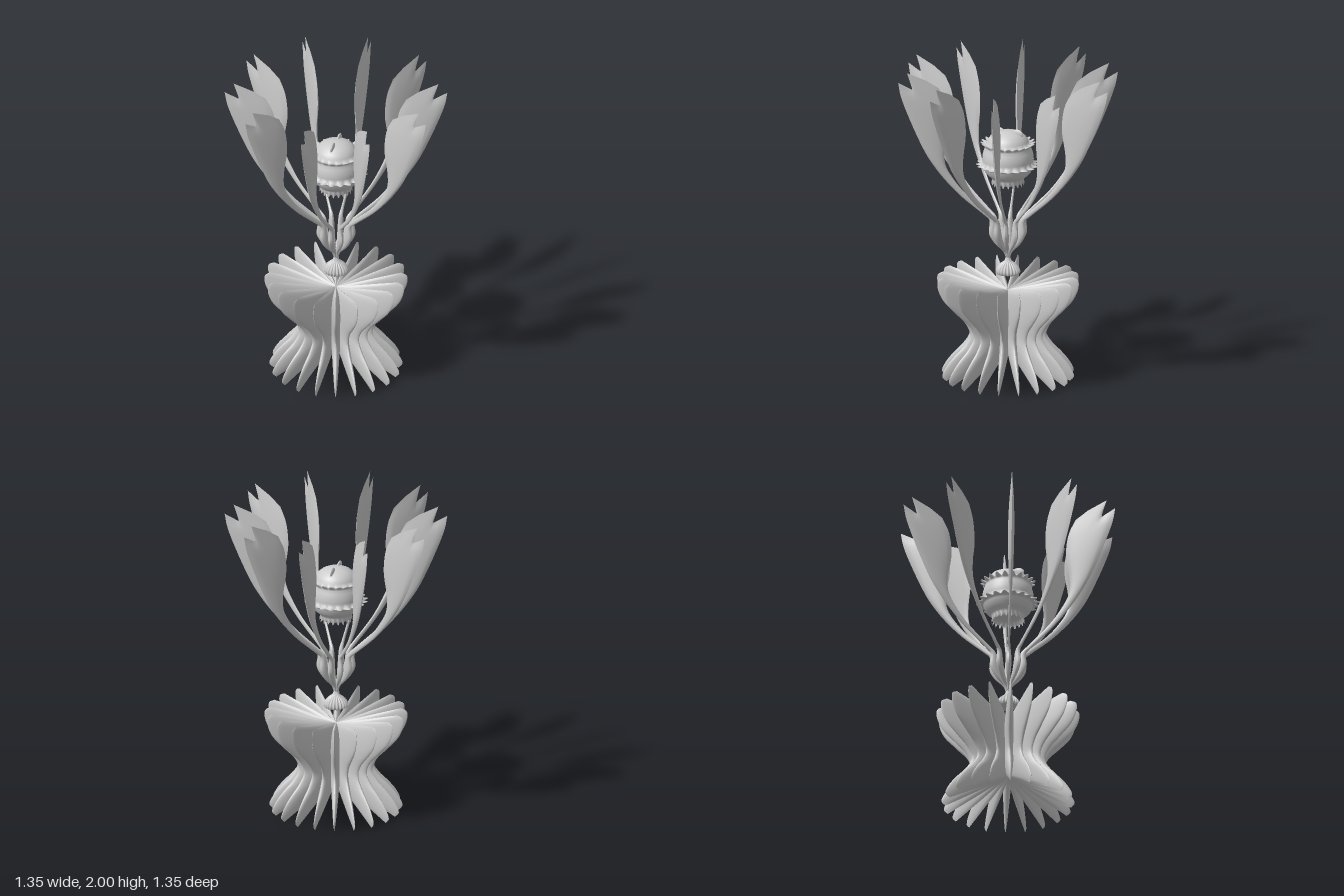
import * as THREE from 'three';
import { mergeVertices } from 'three/addons/utils/BufferGeometryUtils.js';

const material = new THREE.MeshStandardMaterial({ color: 0xcccccc, side: THREE.DoubleSide });
const lerp = THREE.MathUtils.lerp;
const V = (x, y, z = 0) => new THREE.Vector3(x, y, z);

// Two-sided lens: point(u, v) gives x, y and half thickness z
function lensBlade(point, nu, nv) {
  const position = [], index = [];
  for (const side of [1, -1]) {
    const start = position.length / 3;
    for (let j = 0; j <= nv; j++) {
      for (let i = 0; i <= nu; i++) {
        const p = point(i / nu, j / nv);
        position.push(p.x, p.y, p.z * side);
      }
    }
    for (let j = 0; j < nv; j++) {
      for (let i = 0; i < nu; i++) {
        const a = start + j * (nu + 1) + i, b = a + 1, c = b + nu + 1, d = c - 1;
        if (side > 0) index.push(a, b, c, a, c, d);
        else index.push(a, c, b, a, d, c);
      }
    }
  }
  const g = new THREE.BufferGeometry();
  g.setAttribute('position', new THREE.Float32BufferAttribute(position, 3));
  g.setIndex(index);
  g.computeVertexNormals();
  return g;
}

// Lathe whose rows [r, y, rWave, yWave] ripple around the axis
function rippledLathe(rows, teeth) {
  const seg = teeth * 8, n = rows.length;
  let g = new THREE.LatheGeometry(rows.map(([r, y]) => new THREE.Vector2(r, y)), seg);
  const p = g.attributes.position;
  for (let k = 0; k < p.count; k++) {
    const [r, y, rw = 0, yw = 0] = rows[k % n];
    const angle = (Math.floor(k / n) / seg) * Math.PI * 2;
    const wave = Math.cos(angle * teeth);
    const R = r + rw * wave;
    p.setXYZ(k, R * Math.sin(angle), y + yw * wave, R * Math.cos(angle));
  }
  g.deleteAttribute('uv');
  g.deleteAttribute('normal');
  g = mergeVertices(g, 1e-5);
  g.computeVertexNormals();
  return g;
}

// Copies of one blade around the y axis
function ring(name, geometry, count, offsetDegrees) {
  const group = new THREE.Group();
  group.name = name + 's';
  for (let k = 0; k < count; k++) {
    const mesh = new THREE.Mesh(geometry, material);
    mesh.name = name;
    mesh.rotation.y = -THREE.MathUtils.degToRad(offsetDegrees + (360 / count) * k);
    group.add(mesh);
  }
  return group;
}

// Hourglass lobe, spreading from the axis to a curved outer edge
function lobeGeometry() {
  const edge = new THREE.CatmullRomCurve3([
    [0.385, 0], [0.41, 0.03], [0.385, 0.09], [0.335, 0.155], [0.275, 0.22], [0.237, 0.29],
    [0.262, 0.36], [0.335, 0.44], [0.405, 0.52], [0.438, 0.6], [0.435, 0.65], [0.4, 0.67],
  ].map(([r, y]) => V(r, y)));
  return lensBlade((u, v) => {
    const o = edge.getPoint(v);
    const s = Math.sin(u * Math.PI / 2);
    const half = 0.034 * Math.sqrt(Math.max(0, 1 - s * s)) * Math.pow(Math.max(0, Math.sin(Math.PI * v)), 0.5);
    return V(o.x * s, lerp(lerp(0.2, 0.57, v), o.y, s), half);
  }, 12, 44);
}

// Upright petal: slim stem with a swelling, widening to a notched tip
function petalGeometry() {
  // inner r, inner y, outer r, outer y, half thickness
  const rows = [
    [0.0, 0.78, 0.014, 0.78, 0.006],
    [0.01, 0.83, 0.032, 0.82, 0.008],
    [0.045, 0.89, 0.085, 0.875, 0.014],
    [0.065, 0.96, 0.119, 0.94, 0.018],
    [0.08, 1.03, 0.115, 1.02, 0.013],
    [0.125, 1.075, 0.15, 1.06, 0.008],
    [0.26, 1.2, 0.285, 1.18, 0.007],
    [0.345, 1.31, 0.385, 1.29, 0.01],
    [0.39, 1.4, 0.46, 1.39, 0.014],
    [0.393, 1.5, 0.525, 1.5, 0.017],
    [0.37, 1.65, 0.605, 1.68, 0.019],
    [0.385, 1.79, 0.665, 1.84, 0.014],
  ];
  const tip = [V(0.43, 1.89), V(0.51, 1.945), V(0.63, 2.0), V(0.595, 1.89), V(0.685, 1.94)];
  const nu = 12, columns = [];
  for (let i = 0; i <= nu; i++) {
    const u = i / nu, profile = Math.sqrt(Math.max(0, 1 - (2 * u - 1) ** 2));
    const points = rows.map(([ri, yi, ro, yo, t]) => V(lerp(ri, ro, u), lerp(yi, yo, u), t * profile));
    const k = Math.min(3, Math.floor(u * 4));
    points.push(tip[k].clone().lerp(tip[k + 1], u * 4 - k));
    columns.push(new THREE.CatmullRomCurve3(points, false, 'catmullrom', 0.5));
  }
  return lensBlade((u, v) => columns[Math.round(u * nu)].getPoint(v), nu, 60);
}

export function createModel() {
  const model = new THREE.Group();
  model.name = 'flowerOrnament';
  const add = (name, geometry, parent = model) => {
    const mesh = new THREE.Mesh(geometry, material);
    mesh.name = name;
    parent.add(mesh);
    return mesh;
  };

  model.add(ring('baseLobe', lobeGeometry(), 20, 9));
  model.add(ring('petal', petalGeometry(), 10, -9));

  // Fluted cup and neck under the petals
  add('calyx', rippledLathe([
    [0, 0.675], [0.062, 0.675, 0.004], [0.071, 0.685, 0.005], [0.07, 0.7, 0.005], [0.06, 0.722, 0.005],
    [0.04, 0.743, 0.003], [0.022, 0.757, 0.001], [0.014, 0.78], [0.012, 0.81], [0.02, 0.835], [0, 0.84],
  ], 20));

  // Floating seed head with three toothed collars
  const head = new THREE.Group();
  head.name = 'seedHead';
  model.add(head);
  add('seedBody', rippledLathe([
    [0, 1.3], [0.08, 1.295], [0.093, 1.27, 0.004, 0.01], [0.1, 1.262, 0.004, -0.012], [0.098, 1.285],
    [0.106, 1.3], [0.125, 1.315], [0.142, 1.335], [0.15, 1.36], [0.155, 1.372],
    [0.181, 1.376, 0.016, 0.003], [0.181, 1.38, 0.016, 0.003], [0.155, 1.388],
    [0.158, 1.41], [0.157, 1.44], [0.149, 1.47], [0.141, 1.49], [0.143, 1.502],
    [0.158, 1.513, 0.013, 0.008], [0.156, 1.519, 0.013, 0.008], [0.132, 1.512],
    [0.126, 1.532], [0.113, 1.555], [0.09, 1.575], [0.06, 1.589], [0.03, 1.595], [0, 1.597],
  ], 20));

  // Pair of small horns on the dome
  for (const s of [1, -1]) {
    const horn = add('horn', new THREE.SphereGeometry(1, 16, 10), head);
    horn.scale.set(0.04, 0.03, 0.011);
    horn.position.set(0.045 * s, 1.582, -0.045 * s);
    horn.rotation.y = Math.PI / 4;
  }
  return model;
}
